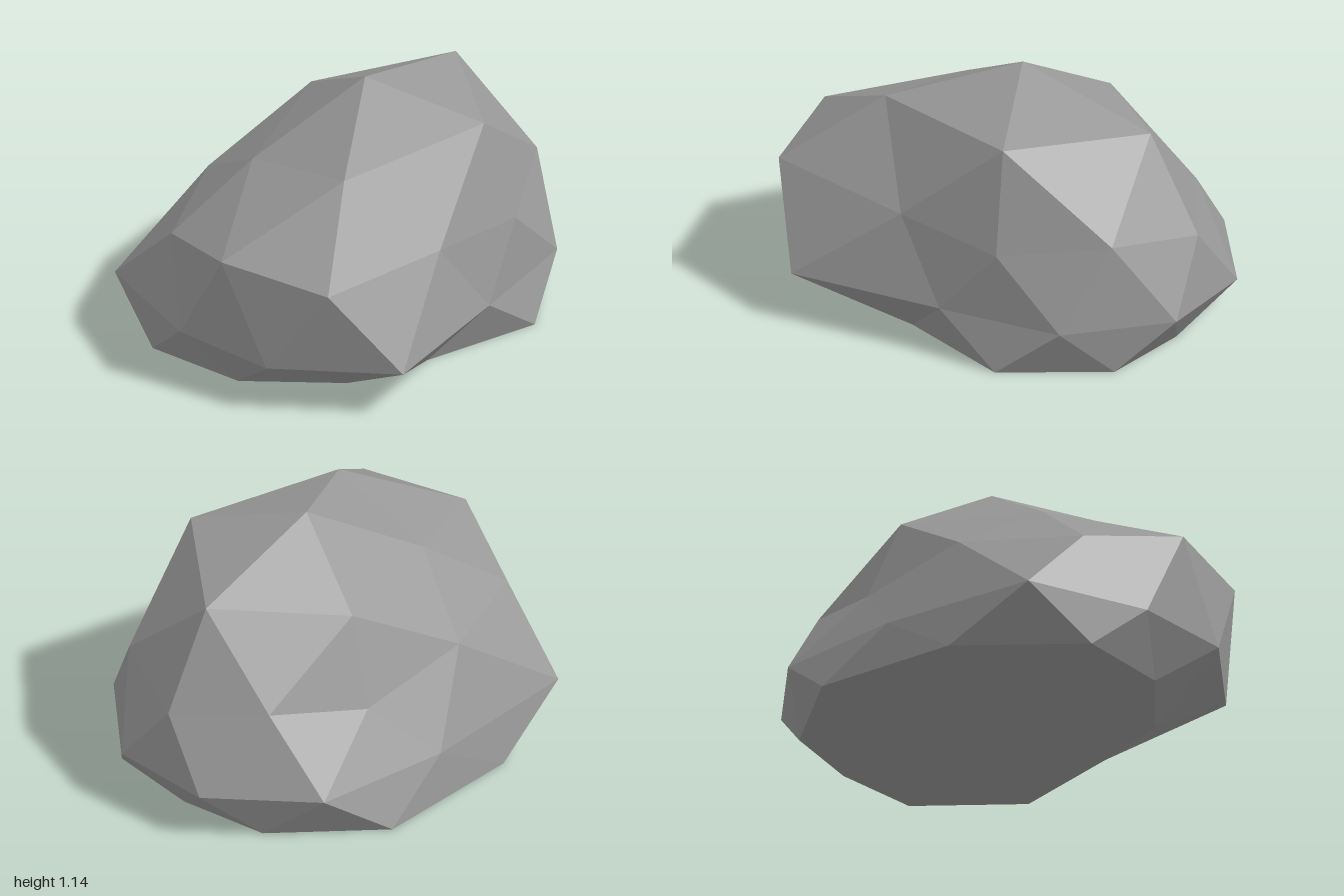
import * as THREE from 'three';

// Cross-section rings of the boulder, each running from +x towards +z
const PEAK = [0.04, 1.14, 0.04];
const CROWN = [
  [0.7, 0.97, 0.035], [0.25, 0.98, 0.535], [-0.49, 0.95, 0.33], [-0.42, 0.84, -0.23], [0.22, 0.885, -0.395],
];
const SHOULDER = [
  [0.945, 0.535, 0.035], [0.755, 0.6, 0.44], [0.3, 0.53, 0.67], [-0.21, 0.585, 0.645], [-0.9, 0.625, 0.555],
  [-0.99, 0.665, 0.035], [-0.77, 0.56, -0.41], [-0.24, 0.595, -0.61], [0.29, 0.495, -0.55], [0.7, 0.575, -0.34],
];
const BELLY_Y = 0.223;
const BELLY = [
  [0.985, 0.275], [0.62, 0.655], [0.04, 0.725], [-0.68, 0.8], [-1, 0.29],
  [-0.97, -0.21], [-0.72, -0.76], [0.04, -0.755], [0.66, -0.63], [1, -0.2],
].map(([x, z]) => [x, BELLY_Y, z]);
const BASE = [
  [0.835, 0.04], [0.78, 0.46], [0.34, 0.745], [-0.2, 0.565], [-0.575, 0.41],
  [-0.85, 0.02], [-0.845, -0.455], [-0.32, -0.8], [0.375, -0.775], [0.78, -0.375],
].map(([x, z]) => [x, 0, z]);

function boulderGeometry() {
  const positions = [];
  const tri = (a, b, c) => positions.push(...a, ...b, ...c);
  const at = (ring, i) => ring[(i + ring.length) % ring.length];

  // Cap and crown: five wedges around the peak
  for (let k = 0; k < 5; k++) {
    const a = at(CROWN, k), b = at(CROWN, k + 1);
    tri(PEAK, b, a);
    tri(a, b, at(SHOULDER, 2 * k + 1));
    tri(a, at(SHOULDER, 2 * k + 1), at(SHOULDER, 2 * k));
    tri(a, at(SHOULDER, 2 * k), at(SHOULDER, 2 * k - 1));
  }
  // Sides and flat underside: zigzag bands of ten
  for (let j = 0; j < 10; j++) {
    tri(at(SHOULDER, j), at(SHOULDER, j + 1), at(BELLY, j));
    tri(at(SHOULDER, j), at(BELLY, j), at(BELLY, j - 1));
    tri(at(BELLY, j - 1), at(BELLY, j), at(BASE, j));
    tri(at(BELLY, j), at(BASE, j + 1), at(BASE, j));
    tri([0, 0, 0], at(BASE, j), at(BASE, j + 1));
  }
  const geometry = new THREE.BufferGeometry();
  geometry.setAttribute('position', new THREE.Float32BufferAttribute(positions, 3));
  geometry.computeVertexNormals();
  return geometry;
}

export function createModel() {
  const stone = new THREE.MeshStandardMaterial({ color: 0x999999, flatShading: true });
  stone.name = 'greyStone';
  const boulder = new THREE.Mesh(boulderGeometry(), stone);
  boulder.name = 'boulder';
  const group = new THREE.Group();
  group.name = 'rock';
  group.add(boulder);
  return group;
}
